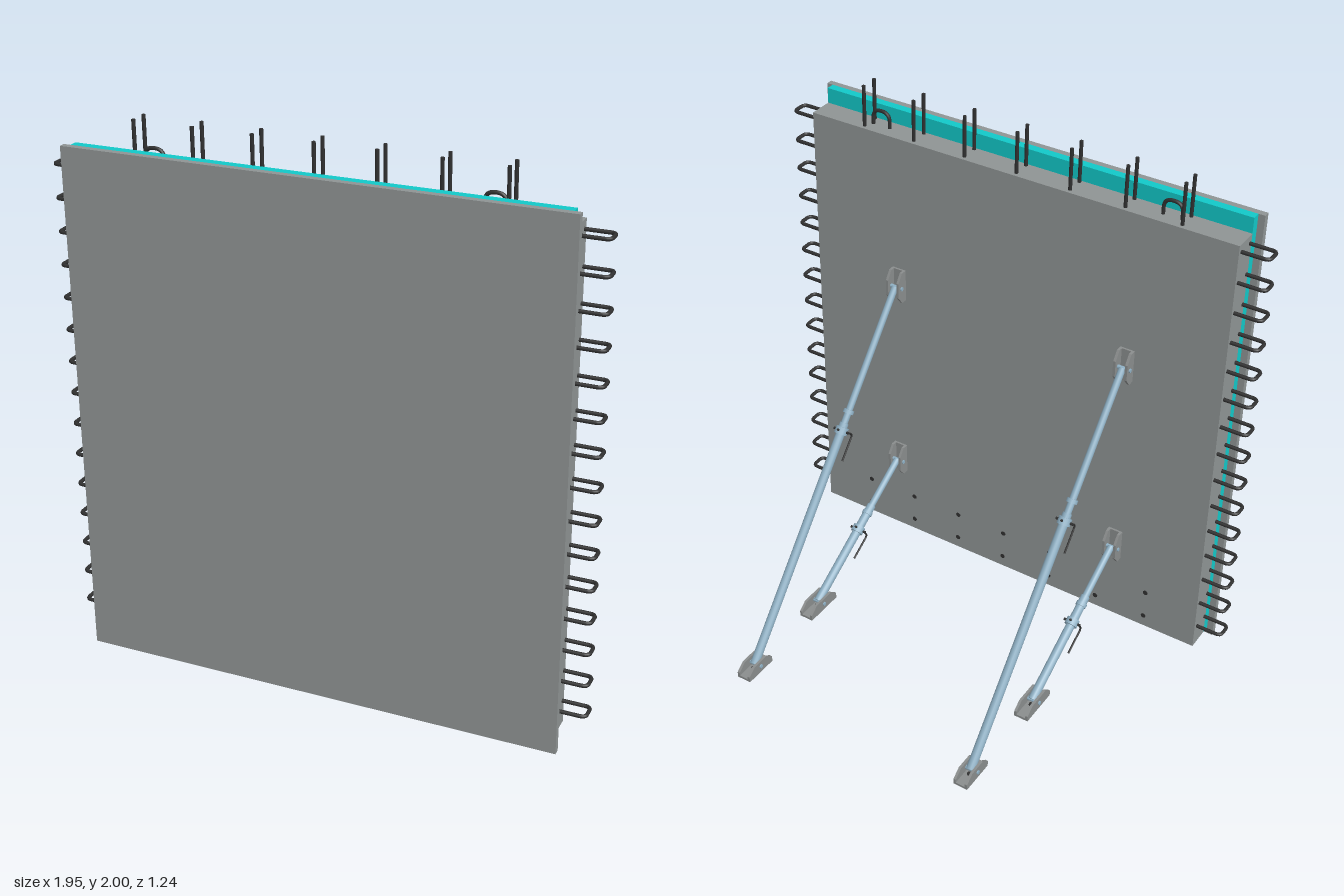
import * as THREE from 'three';

const mat = (name, color) => Object.assign(new THREE.MeshStandardMaterial({ color }), { name });
const V = (x, y, z) => new THREE.Vector3(x, y, z);

export function createModel() {
  const model = new THREE.Group();
  model.name = 'bracedWallPanel';
  const concrete = mat('concrete', 0x8f9494);
  const insulationMat = mat('insulation', 0x12c8c8);
  const rebar = mat('rebar', 0x303030);
  const steel = mat('braceSteel', 0x8fb0c4);
  const plate = mat('bracketSteel', 0x8a8d8d);

  const add = (parent, name, geometry, material) => {
    const mesh = new THREE.Mesh(geometry, material);
    mesh.name = name;
    parent.add(mesh);
    return mesh;
  };
  const box = (parent, name, material, x0, x1, y0, y1, z0, z1) =>
    add(parent, name, new THREE.BoxGeometry(x1 - x0, y1 - y0, z1 - z0), material)
      .position.set((x0 + x1) / 2, (y0 + y1) / 2, (z0 + z1) / 2);
  // Cylinder between two points
  const rod = (parent, name, material, a, b, r, sides = 12) => {
    const d = b.clone().sub(a);
    const mesh = add(parent, name, new THREE.CylinderGeometry(r, r, d.length(), sides), material);
    mesh.position.copy(a).add(b).multiplyScalar(0.5);
    mesh.quaternion.setFromUnitVectors(V(0, 1, 0), d.normalize());
    return mesh;
  };
  // Bar bent along points, with rounded corners
  const bentBar = (parent, name, pts, r, bend, material = rebar) => {
    const path = new THREE.CurvePath();
    let from = pts[0];
    for (let i = 1; i < pts.length - 1; i++) {
      const toward = (p) => pts[i].clone().add(p.clone().sub(pts[i]).setLength(bend));
      const a = toward(pts[i - 1]), b = toward(pts[i + 1]);
      path.add(new THREE.LineCurve3(from, a));
      path.add(new THREE.QuadraticBezierCurve3(a, pts[i], b));
      from = b;
    }
    path.add(new THREE.LineCurve3(from, pts[pts.length - 1]));
    return add(parent, name, new THREE.TubeGeometry(path, 40, r, 8), material);
  };

  // Wall layers, front to back
  box(model, 'outerLeaf', concrete, -0.893, 0.893, 0, 1.9, 0.598, 0.622);
  box(model, 'insulationLayer', insulationMat, -0.868, 0.868, 0.03, 1.9, 0.566, 0.598);
  box(model, 'innerLeaf', concrete, -0.868, 0.868, 0.03, 1.84, 0.47, 0.566);

  // U-shaped connection loops down both sides
  const loops = new THREE.Group();
  loops.name = 'sideLoops';
  model.add(loops);
  for (const s of [-1, 1]) {
    for (let i = 0; i < 15; i++) {
      const y = 0.124 + i * 0.1204;
      bentBar(loops, 'sideLoop', [V(s * 0.85, y, 0.552), V(s * 0.97, y, 0.552),
        V(s * 0.97, y, 0.488), V(s * 0.85, y, 0.488)], 0.007, 0.02);
    }
  }

  // Starter bars on top and grout holes low on the back
  for (let i = -3; i <= 3; i++) {
    const x = i * 0.216;
    for (const z of [0.49, 0.555]) {
      rod(model, 'starterBar', rebar, V(x, 1.82, z), V(x, 2, z), 0.007, 8);
    }
    for (const y of [0.08, 0.2]) {
      rod(model, 'groutHole', rebar, V(x, y, 0.472), V(x, y, 0.468), 0.01, 12);
    }
  }

  // Lifting loops
  for (const s of [-1, 1]) {
    bentBar(model, 'liftingLoop', [V(s * 0.595 - 0.036, 1.82, 0.522), V(s * 0.595 - 0.036, 1.9, 0.522),
      V(s * 0.595 + 0.036, 1.9, 0.522), V(s * 0.595 + 0.036, 1.82, 0.522)], 0.007, 0.034);
  }

  // Plate in the z-y plane, centred on x
  const cheek = (parent, x, pts) => {
    const shape = new THREE.Shape(pts.map(([z, y]) => new THREE.Vector2(-z, y)));
    const geo = new THREE.ExtrudeGeometry(shape, { depth: 0.01, bevelEnabled: false });
    geo.translate(0, 0, -0.005).rotateY(Math.PI / 2);
    add(parent, 'bracketCheek', geo, plate).position.x = x;
  };

  // Adjustable brace with wall bracket and foot
  function brace(name, x, wallY, footZ, footHalf, split, collarAt) {
    const g = new THREE.Group();
    g.name = name;
    g.position.x = x;
    model.add(g);
    const top = V(0, wallY, 0.44), foot = V(0, 0.043, footZ);
    const at = (t) => top.clone().lerp(foot, t);
    const d = foot.clone().sub(top).normalize();
    const n = V(0, d.z, -d.y);

    // Wall bracket
    box(g, 'wallPlate', plate, -0.029, 0.029, wallY - 0.066, wallY + 0.066, 0.462, 0.476);
    for (const s of [-1, 1]) {
      cheek(g, s * 0.024, [[0.47, wallY - 0.066], [0.47, wallY + 0.066], [0.445, wallY + 0.066],
        [0.421, wallY + 0.03], [0.421, wallY - 0.035], [0.445, wallY - 0.066]]);
      // Foot cheeks
      const a = footZ - footHalf, b = footZ + footHalf;
      cheek(g, s * 0.024, [[a, 0.015], [b, 0.015], [b, 0.038], [b - 0.035, 0.066],
        [a + 0.035, 0.066], [a, 0.038]]);
    }
    box(g, 'footPlate', plate, -0.029, 0.029, 0.014, 0.024, footZ - footHalf, footZ + footHalf);
    rod(g, 'footAnchor', rebar, V(0, 0.004, footZ - 0.01), V(0, 0.03, footZ - 0.01), 0.008, 8);
    for (const p of [top, foot]) {
      rod(g, 'hingePin', steel, p.clone().setX(-0.034), p.clone().setX(0.034), 0.008);
    }

    // Telescopic tubes
    rod(g, 'innerTube', steel, top, at(split), 0.0135, 16);
    rod(g, 'outerTube', steel, at(split), foot, 0.0175, 16);

    // Collar, locking pin and handle
    const c = at(collarAt);
    const along = (p, k) => p.clone().addScaledVector(d, k);
    rod(g, 'collar', steel, along(c, -0.014), along(c, 0.014), 0.025, 16);
    rod(g, 'collarRing', steel, along(c, -0.085), along(c, -0.07), 0.021, 16);
    rod(g, 'lockingPin', rebar, c.clone().setX(-0.035), c.clone().setX(0.035), 0.005, 8);
    rod(g, 'crossPin', rebar, c.clone().addScaledVector(n, -0.03), c.clone().addScaledVector(n, 0.042), 0.005, 8);
    const h = c.clone().addScaledVector(n, 0.036);
    bentBar(g, 'handle', [c.clone().setX(-0.03), h.clone().setX(-0.03), along(h, 0.11).setX(-0.03)],
      0.004, 0.015);
  }
  brace('leftLongBrace', 0.491, 1.225, -0.547, 0.07, 0.36, 0.38);
  brace('rightLongBrace', -0.491, 1.225, -0.547, 0.07, 0.36, 0.38);
  brace('leftShortBrace', 0.496, 0.388, -0.13, 0.082, 0.33, 0.5);
  brace('rightShortBrace', -0.5, 0.388, -0.13, 0.082, 0.33, 0.5);

  return model;
}
